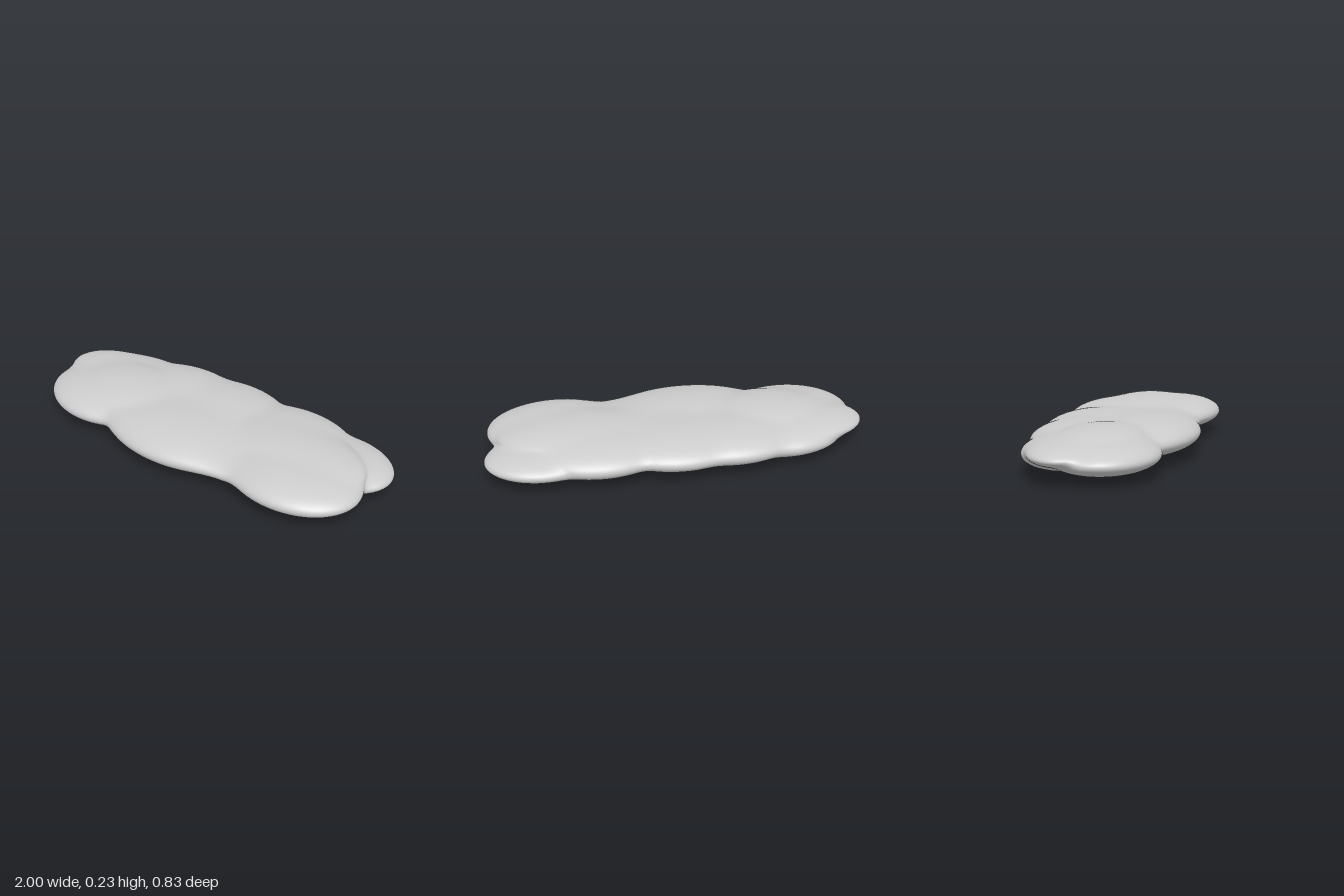
import * as THREE from 'three';
import { mergeVertices } from 'three/addons/utils/BufferGeometryUtils.js';

// Puffs of the cloud: centre x, y, z and radii x, y, z
const PUFFS = [
  [0.00, 0.120, 0.00, 0.88, 0.092, 0.355],   // core
  [-0.62, 0.135, -0.07, 0.38, 0.068, 0.22],  // left tip
  [-0.64, 0.113, 0.08, 0.335, 0.086, 0.272], // left front
  [-0.50, 0.152, 0.02, 0.34, 0.079, 0.24],   // left crown
  [-0.56, 0.110, -0.12, 0.32, 0.085, 0.228], // left back
  [-0.45, 0.105, -0.01, 0.42, 0.084, 0.28],  // left underside
  [-0.28, 0.122, -0.13, 0.38, 0.094, 0.268], // back, left of middle
  [-0.10, 0.122, 0.12, 0.46, 0.098, 0.296],  // front middle
  [0.00, 0.124, -0.13, 0.38, 0.094, 0.286],  // back middle
  [0.41, 0.122, -0.13, 0.38, 0.096, 0.280],  // back, right of middle
  [0.30, 0.096, -0.01, 0.55, 0.092, 0.30],   // right underside
  [0.50, 0.156, -0.03, 0.42, 0.075, 0.24],   // right crown
  [0.60, 0.127, 0.10, 0.37, 0.090, 0.275],   // right front
  [0.70, 0.106, -0.16, 0.30, 0.070, 0.218],  // right back
];
const SIZE = new THREE.Vector3(1, 0.115, 0.415);
const CENTRE = new THREE.Vector3(0, 0.12, 0);
const BLEND = 0.12;

// Smooth union of all puffs: negative inside
function field(p) {
  let d = 10;
  for (const [x, y, z, rx, ry, rz] of PUFFS) {
    const e = Math.hypot((p.x - x) / rx, (p.y - y) / ry, (p.z - z) / rz) - 1;
    const h = Math.max(BLEND - Math.abs(d - e), 0);
    d = Math.min(d, e) - h * h / (4 * BLEND);
  }
  return d;
}

// Outermost crossing of the cloud's skin along a ray from the centre
function skinPoint(dir, out) {
  const at = (t) => field(out.copy(CENTRE).addScaledVector(dir, t));
  let t = 1.4;
  while (t > 0.1 && at(t) > 0) t -= 0.015;
  let inner = t, outer = t + 0.015;
  for (let i = 0; i < 12; i++) {
    const mid = (inner + outer) / 2;
    if (at(mid) > 0) outer = mid; else inner = mid;
  }
  at(inner);
}

export function createModel() {
  // A welded sphere whose vertices are pushed onto the skin
  let geometry = new THREE.SphereGeometry(1, 288, 144);
  geometry.deleteAttribute('uv');
  geometry.deleteAttribute('normal');
  geometry = mergeVertices(geometry, 1e-5);
  const pos = geometry.attributes.position;
  const dir = new THREE.Vector3(), point = new THREE.Vector3();
  for (let i = 0; i < pos.count; i++) {
    dir.fromBufferAttribute(pos, i).multiply(SIZE);
    skinPoint(dir, point);
    pos.setXYZ(i, point.x, point.y, point.z);
  }
  geometry.computeVertexNormals();

  const cloud = new THREE.Mesh(geometry, new THREE.MeshStandardMaterial({ color: 0xcccccc }));
  cloud.name = 'cloud';
  const group = new THREE.Group();
  group.name = 'flatCloud';
  group.add(cloud);
  return group;
}
